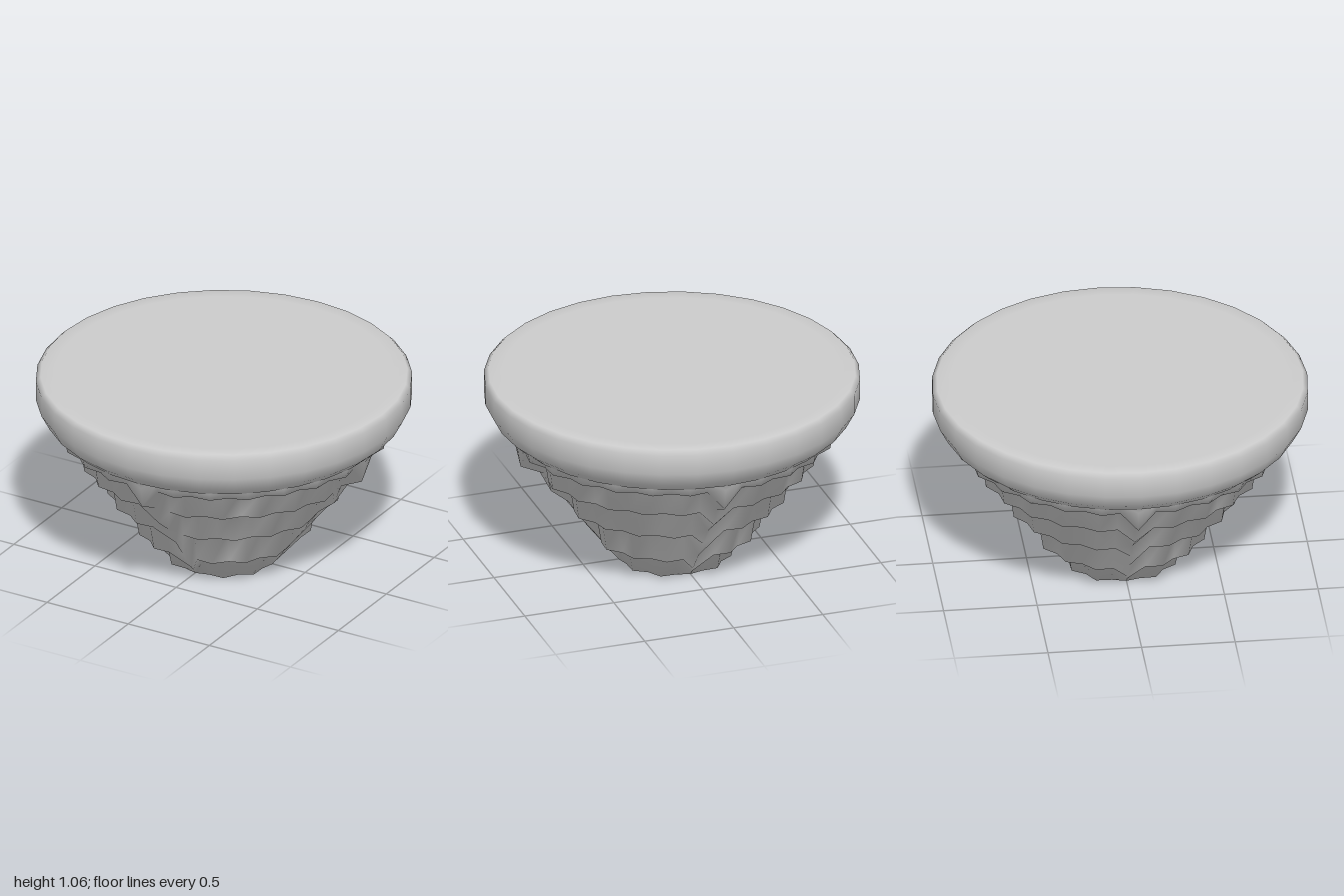
import * as THREE from 'three';

// Rock rings, bottom to top, as pairs: outer edge of a ledge, then top of its wall.
// n stones per quarter, height y, radius r, and the softer point [y, r] on the four axes
const RINGS = [
  { n: 3, y: 0, r: 0.32, axis: [0, 0.30] },
  { n: 3, y: 0.14, r: 0.35, axis: [0.025, 0.32] },
  { n: 4, y: 0.155, r: 0.465, axis: [0.05, 0.34] },
  { n: 4, y: 0.35, r: 0.50, axis: [0.17, 0.43] },
  { n: 5, y: 0.37, r: 0.62, axis: [0.27, 0.505] },
  { n: 5, y: 0.55, r: 0.65, axis: [0.38, 0.58] },
  { n: 6, y: 0.57, r: 0.765, axis: [0.46, 0.68] },
  { n: 6, y: 0.73, r: 0.79, axis: [0.57, 0.72] },
  { n: 7, y: 0.745, r: 0.89, axis: [0.63, 0.85] },
  { n: 7, y: 0.80, r: 0.90, axis: [0.75, 0.87] },
  { n: 8, y: 0.85, r: 0.94, axis: [0.85, 0.94] },
];
const NOTCH = 0.03; // inset between neighbouring stones

// Terraced rings, one stone more per quarter at each level, stitched into a rock
function rockGeometry() {
  const pos = [0, 0, 0], index = [], starts = [];
  for (const { n, y, r, axis } of RINGS) {
    starts.push(pos.length / 3);
    for (let j = 0; j < 8 * n; j++) {
      const a = (j / (8 * n)) * Math.PI * 2;
      const [py, pr] = j % (2 * n) === 0 ? axis : [y, j % 2 ? r - NOTCH : r];
      pos.push(Math.sin(a) * pr, py, Math.cos(a) * pr);
    }
  }
  // flat underside
  const first = 8 * RINGS[0].n;
  for (let j = 0; j < first; j++) index.push(0, 1 + ((j + 1) % first), 1 + j);
  // stitch each ring to the next, advancing whichever side lags
  for (let s = 0; s < RINGS.length - 1; s++) {
    const m = 8 * RINGS[s].n, p = 8 * RINGS[s + 1].n;
    const low = (j) => starts[s] + (j % m), high = (j) => starts[s + 1] + (j % p);
    let i = 0, k = 0;
    while (i < m || k < p) {
      if ((i + 1) / m < (k + 1) / p) {
        index.push(low(i), low(i + 1), high(k));
        i++;
      } else {
        index.push(low(i), high(k + 1), high(k));
        k++;
      }
    }
  }
  const g = new THREE.BufferGeometry();
  g.setAttribute('position', new THREE.Float32BufferAttribute(pos, 3));
  g.setIndex(index);
  g.computeVertexNormals();
  return g;
}

// Smooth rounded rim, from the flared underside to the flat of the top
function rimGeometry() {
  const profile = [[0.90, 0.79], [0.955, 0.84], [1, 0.925], [1, 1.035], [0.975, 1.06], [0.9, 1.06]]
    .map(([r, y]) => new THREE.Vector2(r, y));
  return new THREE.LatheGeometry(profile, 32);
}

// Flat round top that meets the rim's inner edge
function topGeometry() {
  return new THREE.CircleGeometry(0.9, 32).rotateX(-Math.PI / 2).translate(0, 1.06, 0);
}

export function createModel() {
  const group = new THREE.Group();
  group.name = 'floatingIsland';
  const material = new THREE.MeshStandardMaterial({ color: 0xcccccc });
  const add = (name, geometry) => {
    const mesh = new THREE.Mesh(geometry, material);
    mesh.name = name;
    group.add(mesh);
  };
  add('rockBase', rockGeometry());
  add('slabRim', rimGeometry());
  add('slabTop', topGeometry());
  return group;
}
